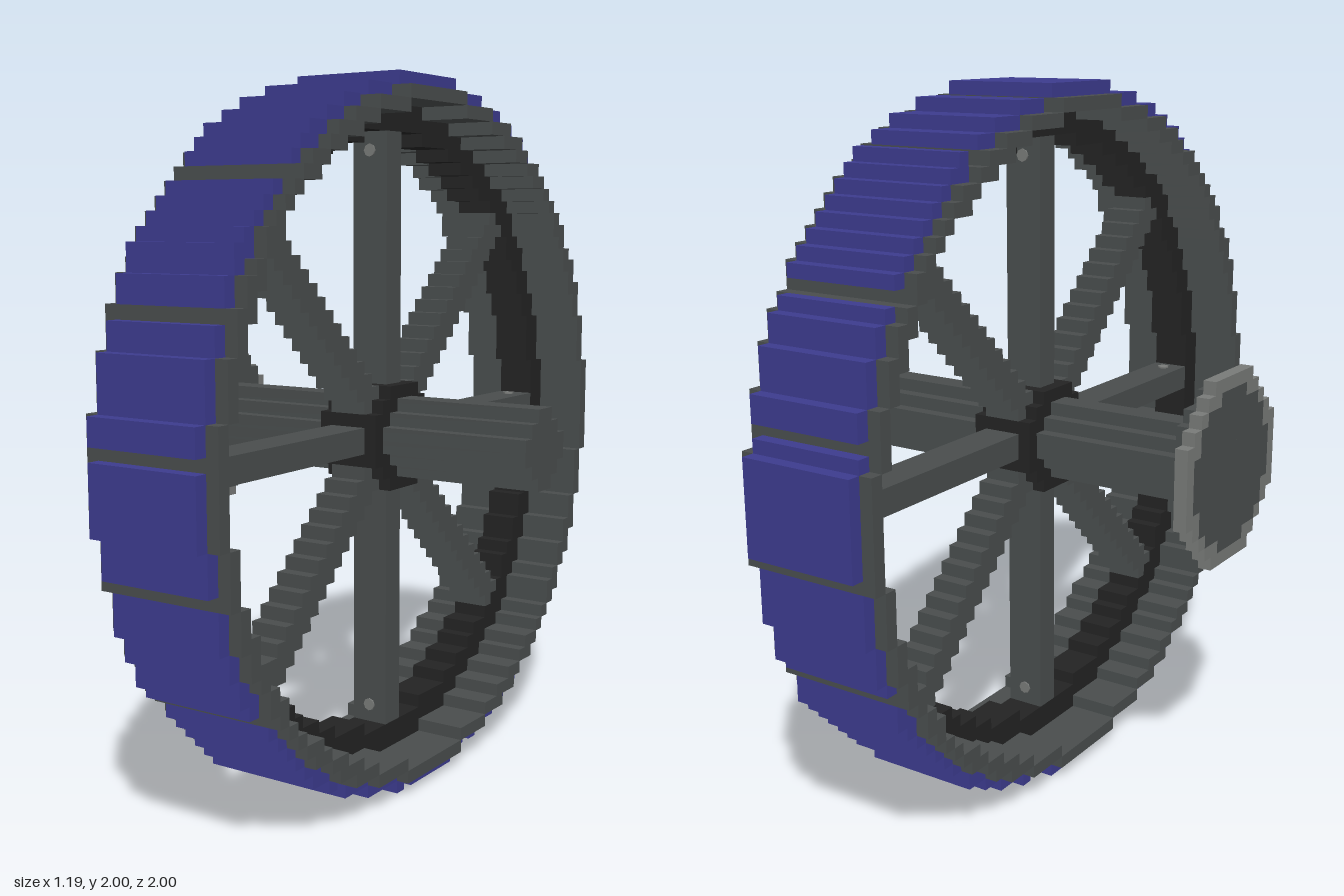
import * as THREE from 'three';
import { mergeGeometries } from 'three/addons/utils/BufferGeometryUtils.js';

const V = 2 / 54;      // edge of one block
const CY = 1;          // height of the axle
const N = 27;          // blocks from the centre to the tread

const mat = (name, color) => {
  const m = new THREE.MeshStandardMaterial({ color });
  m.name = name;
  return m;
};

export function createModel() {
  const blue = mat('blue', 0x3c3b8e);
  const grey = mat('dark grey', 0x494d4d);
  const black = mat('black', 0x232323);
  const light = mat('light grey', 0x787a78);
  const model = new THREE.Group();
  model.name = 'spokedWheel';

  // Fills each row of blocks where test(z, y) holds, between block layers x0 and x1
  function blocks(name, material, x0, x1, test) {
    const parts = [];
    for (let j = -N; j < N; j++) {
      let start = null;
      for (let k = -N; k <= N; k++) {
        const on = k < N && test(k + 0.5, j + 0.5, k, j);
        if (on && start === null) start = k;
        if (!on && start !== null) {
          const g = new THREE.BoxGeometry((x1 - x0) * V, V, (k - start) * V);
          g.translate((x0 + x1) / 2 * V, CY + (j + 0.5) * V, (start + k) / 2 * V);
          parts.push(g);
          start = null;
        }
      }
    }
    const mesh = new THREE.Mesh(mergeGeometries(parts), material);
    mesh.name = name;
    model.add(mesh);
  }
  const ring = (inner, outer) => (z, y) => {
    const r = Math.hypot(z, y);
    return r > inner && r <= outer;
  };

  // Tread with one-block grooves across it
  const grooves = {
    front: [19, 10, 1, -8, -17],
    top: [17, 8, 4, -5, -14],
    back: [14, 5, -4, -13],
    bottom: [11, 2, -7, -16],
  };
  const isGroove = (z, y, k, j) => {
    if (Math.abs(y) > Math.abs(z)) return (y > 0 ? grooves.top : grooves.bottom).includes(k);
    return (z > 0 ? grooves.front : grooves.back).includes(j);
  };
  const treadRing = ring(25.8, 26.8);
  blocks('tread', blue, -3, 6, (z, y, k, j) => treadRing(z, y) && !isGroove(z, y, k, j));

  // Rim and the narrow band inside it
  blocks('rim', grey, -4, 7, ring(24.8, 25.8));
  blocks('innerBand', black, 0, 3, ring(22.8, 24.8));

  // Spokes: four straight and four stepped
  blocks('spokes', grey, 0, 3, (z, y, k, j) => {
    const r = Math.hypot(z, y);
    if (r > 22.8 || r < 3.5) return false;
    return Math.abs(z) < 1 || Math.abs(y) < 1 || Math.abs(Math.abs(z) - Math.abs(y)) < 1.5;
  });

  // Hub and axle
  blocks('hub', black, -1, 4, ring(2.83, 4));
  blocks('axle', grey, -14, 16, ring(0, 2.83));

  // End cap on the axle
  blocks('capFace', grey, -16, -14, ring(0, 6));
  blocks('capEdge', light, -16, -15, ring(6, 7));
  blocks('capCollar', light, -14, -13,
    (z, y) => Math.abs(z) === 2.5 && Math.abs(y) === 1.5);

  // Small round rivets near the ends of the straight spokes
  for (let i = 0; i < 4; i++) {
    const a = i * Math.PI / 2;
    const spoke = new THREE.Group();
    spoke.name = 'spokeRivets';
    for (const side of [-1, 1]) {
      const rivet = new THREE.Mesh(new THREE.CylinderGeometry(0.018, 0.018, 0.006, 8), light);
      rivet.name = 'rivet';
      rivet.rotation.x = Math.PI / 2;
      rivet.position.set(1.5 * V, 0.8, side * (V + 0.002));
      spoke.add(rivet);
    }
    spoke.position.y = CY;
    spoke.rotation.x = a;
    model.add(spoke);
  }
  return model;
}
